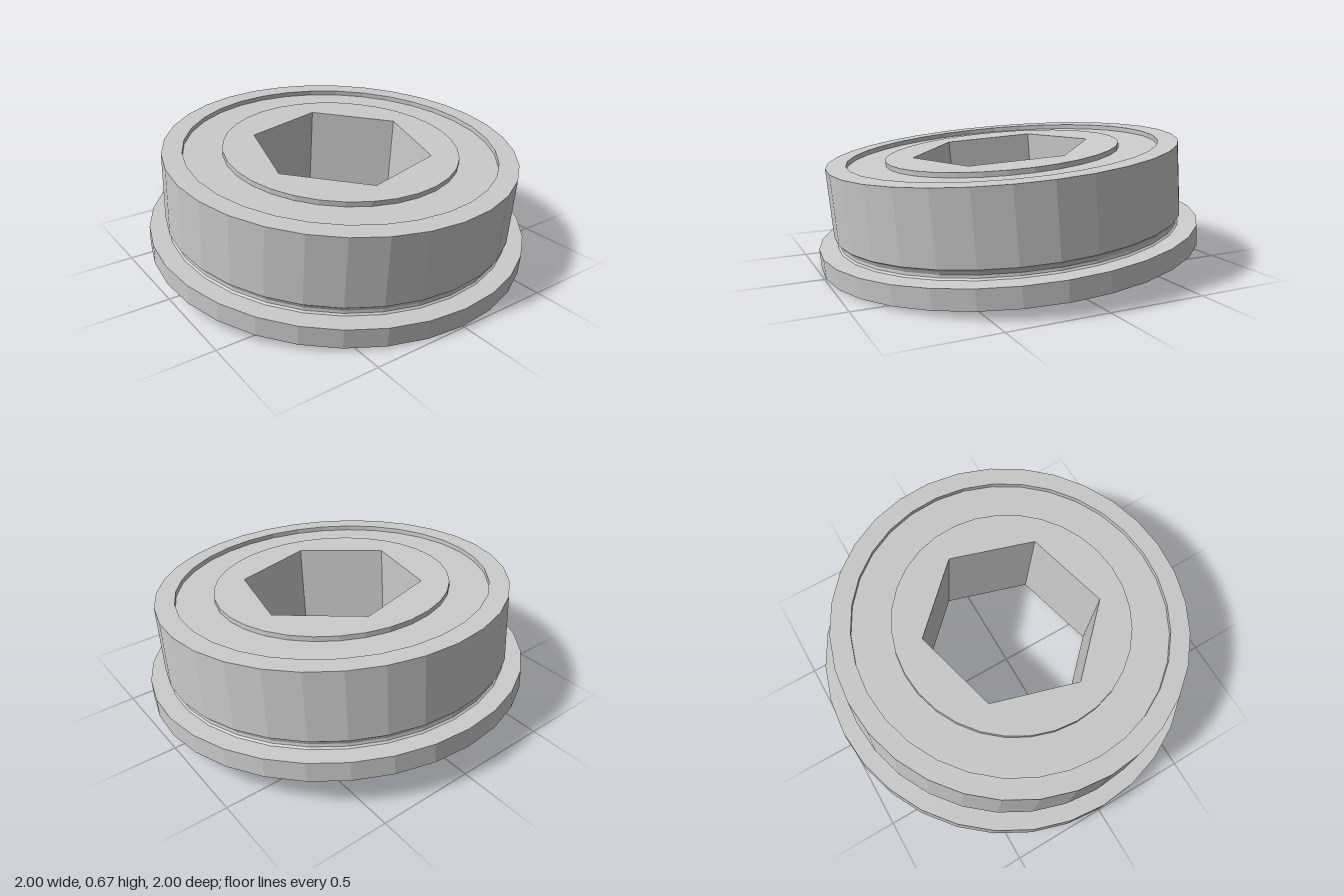
import * as THREE from 'three';

const SIDES = 32;
const HEIGHT = 0.51;
const RACE_RADIUS = 0.615, SEAL_RADIUS = 0.815, HEX_RADIUS = 0.47;
const SEAL_DEPTH = 0.025;

const material = new THREE.MeshStandardMaterial({ color: 0xcccccc, flatShading: true });

// Ring turned from a closed [radius, height] profile, listed counter-clockwise
function turnedRing(name, profile) {
  const points = [...profile, profile[0]].map(([r, y]) => new THREE.Vector2(r, y));
  const mesh = new THREE.Mesh(new THREE.LatheGeometry(points, SIDES), material);
  mesh.name = name;
  return mesh;
}

// Regular polygon outline
function polygon(radius, sides, startAngle) {
  return Array.from({ length: sides }, (_, i) => {
    const a = startAngle + (i / sides) * Math.PI * 2;
    return new THREE.Vector2(Math.cos(a) * radius, Math.sin(a) * radius);
  });
}

export function createModel() {
  const model = new THREE.Group();
  model.name = 'flangedHexBearing';

  const bearing = new THREE.Group();
  bearing.name = 'bearing';
  model.add(bearing);

  // Outer ring: wide flange, relief groove and straight wall
  bearing.add(turnedRing('outerRing', [
    [SEAL_RADIUS, 0], [1, 0], [1, 0.1],
    [0.905, 0.1], [0.896, 0.108], [0.894, 0.122], [0.9, 0.138], [0.917, 0.152],
    [0.917, HEIGHT], [SEAL_RADIUS, HEIGHT],
  ]));

  // Seal filling the gap between the rings, recessed on both faces
  bearing.add(turnedRing('seal', [
    [RACE_RADIUS, SEAL_DEPTH], [SEAL_RADIUS, SEAL_DEPTH],
    [SEAL_RADIUS, HEIGHT - SEAL_DEPTH], [RACE_RADIUS, HEIGHT - SEAL_DEPTH],
  ]));

  // Inner race with a hexagonal bore
  const raceShape = new THREE.Shape(polygon(RACE_RADIUS, SIDES, 0));
  raceShape.holes.push(new THREE.Path(polygon(HEX_RADIUS, 6, -Math.PI / 12)));
  const raceGeometry = new THREE.ExtrudeGeometry(raceShape, { depth: HEIGHT, bevelEnabled: false });
  raceGeometry.rotateX(-Math.PI / 2);
  const race = new THREE.Mesh(raceGeometry, material);
  race.name = 'innerRace';
  bearing.add(race);

  // The whole bearing leans slightly, resting on the flange's left edge
  bearing.rotation.z = THREE.MathUtils.degToRad(-4.9);
  bearing.position.set(-0.004, 0.0855, 0);

  return model;
}
